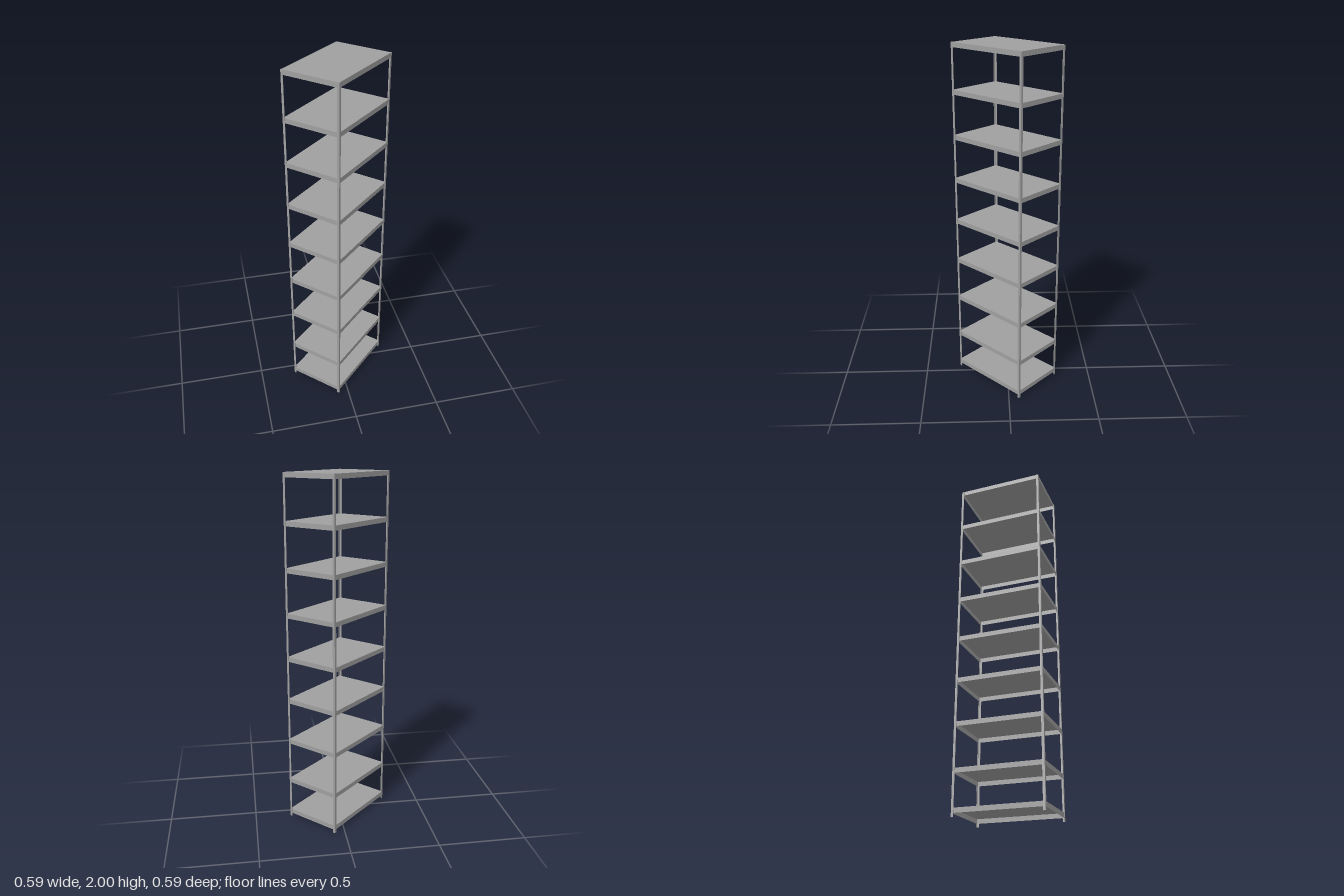
import * as THREE from 'three';

const LENGTH = 0.5, DEPTH = 0.3333, HEIGHT = 2;
const ANGLE = 0.0133;   // arm width of the corner angle posts
const SHEET = 0.0015;   // sheet metal thickness
const LIP = 0.0265;     // height of the shelf edge

export function createModel() {
  const steel = new THREE.MeshStandardMaterial({ color: 0xa0a0a0 });
  steel.name = 'grey steel';

  const model = new THREE.Group();
  model.name = 'shelvingUnit';

  const box = (parent, name, size, position) => {
    const mesh = new THREE.Mesh(new THREE.BoxGeometry(...size), steel);
    mesh.name = name;
    mesh.position.set(...position);
    parent.add(mesh);
  };

  // L-section posts, one wrapped round each corner
  for (const sx of [-1, 1]) {
    for (const sz of [-1, 1]) {
      const post = new THREE.Group();
      post.name = 'cornerPost';
      box(post, 'postLongArm', [ANGLE, HEIGHT, SHEET],
        [sx * (LENGTH - ANGLE) / 2, HEIGHT / 2, sz * (DEPTH - SHEET) / 2]);
      box(post, 'postShortArm', [SHEET, HEIGHT, ANGLE - SHEET],
        [sx * (LENGTH - SHEET) / 2, HEIGHT / 2, sz * ((DEPTH - ANGLE - SHEET) / 2)]);
      model.add(post);
    }
  }

  // Shelves: a flat sheet with its four edges folded down
  const w = LENGTH - 2 * SHEET, d = DEPTH - 2 * SHEET;
  for (const top of [0.046, 0.25, 0.5, 0.75, 1, 1.25, 1.5, 1.75, 2]) {
    const shelf = new THREE.Group();
    shelf.name = 'shelf';
    shelf.position.y = top;
    box(shelf, 'shelfTop', [w, SHEET, d], [0, -SHEET / 2, 0]);
    const lip = LIP - SHEET, y = -SHEET - lip / 2;
    for (const s of [-1, 1]) {
      box(shelf, 'longLip', [w, lip, SHEET], [0, y, s * (d - SHEET) / 2]);
      box(shelf, 'shortLip', [SHEET, lip, d - 2 * SHEET], [s * (w - SHEET) / 2, y, 0]);
    }
    model.add(shelf);
  }

  // The whole unit stands diagonally
  model.rotation.y = Math.PI / 4;
  const root = new THREE.Group();
  root.name = 'shelving';
  root.add(model);
  return root;
}
